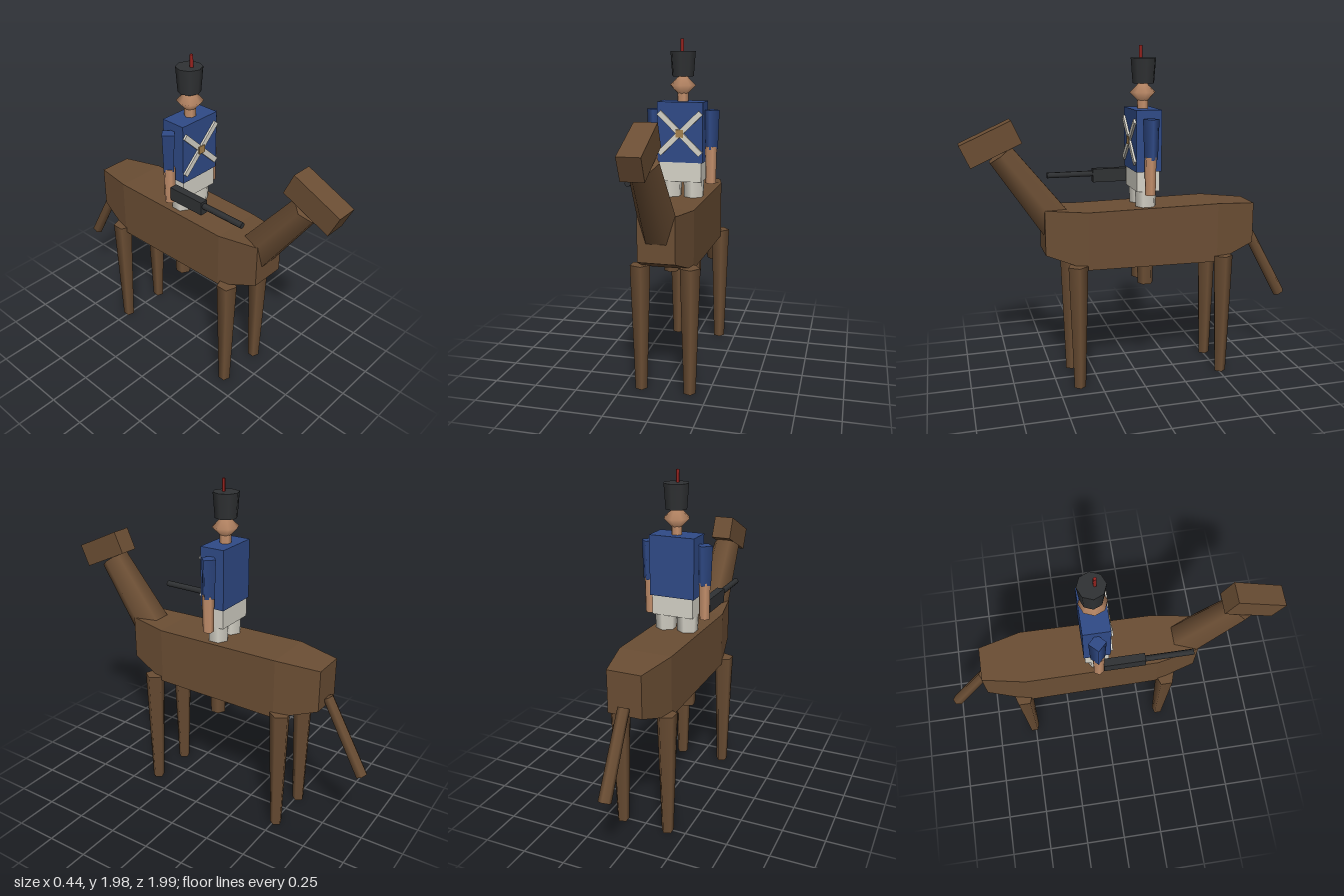
import * as THREE from 'three';

const paint = (name, color) => {
  const m = new THREE.MeshStandardMaterial({ color });
  m.name = name;
  return m;
};

export function createModel() {
  const brown = paint('horse brown', 0x6b4e34);
  const blue = paint('coat blue', 0x304b88);
  const skin = paint('skin', 0xc4906c);
  const white = paint('off white', 0xd6d3c8);
  const black = paint('charcoal', 0x303234);
  const red = paint('plume red', 0x9a2420);
  const brass = paint('buckle brass', 0xa5824e);

  const model = new THREE.Group();
  model.name = 'mountedSoldier';
  const horse = new THREE.Group();
  horse.name = 'horse';
  const rider = new THREE.Group();
  rider.name = 'rider';
  model.add(horse, rider);

  const add = (parent, name, geometry, material, x = 0, y = 0, z = 0) => {
    const mesh = new THREE.Mesh(geometry, material);
    mesh.name = name;
    mesh.position.set(x, y, z);
    parent.add(mesh);
    return mesh;
  };
  const box = (w, h, d) => new THREE.BoxGeometry(w, h, d);

  // Tapered rod between two points, with a corner turned by `turn`
  const rod = (parent, name, material, a, b, ra, rb, sides, turn = Math.PI / 2) => {
    const from = new THREE.Vector3(...a), to = new THREE.Vector3(...b);
    const dir = to.clone().sub(from);
    const geo = new THREE.CylinderGeometry(rb, ra, dir.length(), sides, 1, false, turn);
    const mesh = add(parent, name, geo, material);
    mesh.position.copy(from).add(to).multiplyScalar(0.5);
    mesh.quaternion.setFromUnitVectors(new THREE.Vector3(0, 1, 0), dir.normalize());
    return mesh;
  };

  // Horse body: a box of three segments, reshaped section by section
  const sections = [ // z, half width, bottom, top
    [-0.72, 0.1, 0.8, 1.045],
    [-0.47, 0.155, 0.71, 1.065],
    [0.31, 0.15, 0.717, 1.055],
    [0.55, 0.105, 0.81, 1.07],
  ];
  let body = new THREE.BoxGeometry(2, 2, 3, 1, 1, 3);
  const p = body.attributes.position;
  for (let i = 0; i < p.count; i++) {
    const [z, w, bottom, top] = sections[Math.round(p.getZ(i) + 1.5)];
    p.setXYZ(i, p.getX(i) * w, p.getY(i) > 0 ? top : bottom, z);
  }
  body = body.toNonIndexed();
  body.computeVertexNormals();
  add(horse, 'horseBody', body, brown);

  // Horse legs, neck, head and tail
  for (const [end, z] of [['front', 0.375], ['rear', -0.51]])
    for (const [side, x] of [['Left', 0.143], ['Right', -0.143]])
      rod(horse, `${end}Leg${side}`, brown, [x, 0, z], [x, 0.745, z], 0.036, 0.06, 5);
  rod(horse, 'horseNeck', brown, [0, 0.964, 0.465], [0, 1.385, 0.775], 0.113, 0.086, 6);
  add(horse, 'horseHead', box(0.122, 0.138, 0.313), brown, 0, 1.447, 0.828).rotation.x = 0.427;
  rod(horse, 'tail', brown, [0, 0.422, -0.963], [0, 0.852, -0.728], 0.036, 0.033, 6, 0);

  // Rider torso and hips
  add(rider, 'coat', box(0.27, 0.35, 0.15), blue, 0, 1.445, -0.048);
  add(rider, 'hips', box(0.25, 0.12, 0.135), white, 0, 1.215, -0.048);

  // Crossed belts and buckle
  for (const s of [1, -1])
    add(rider, 'crossBelt', box(0.032, 0.345, 0.012), white, 0, 1.44, 0.033).rotation.z = s * 0.8;
  add(rider, 'buckle', box(0.045, 0.045, 0.014), brass, 0, 1.44, 0.037);

  // Arms and legs, mirrored
  for (const [side, s] of [['Left', 1], ['Right', -1]]) {
    rod(rider, `sleeve${side}`, blue, [s * 0.17, 1.345, -0.05], [s * 0.17, 1.573, -0.05], 0.04, 0.048, 4);
    rod(rider, `forearm${side}`, skin, [s * 0.17, 1.143, -0.046], [s * 0.17, 1.36, -0.046], 0.031, 0.035, 6);
    rod(rider, `thigh${side}`, white, [s * 0.068, 0.88, -0.048], [s * 0.068, 1.16, -0.048], 0.055, 0.064, 6, 0);
    rod(rider, `lowerLeg${side}`, brown, [s * 0.068, 0.59, -0.046], [s * 0.068, 0.88, -0.046], 0.047, 0.052, 6, 0);
  }

  // Neck, head, tall hat and plume
  rod(rider, 'neck', skin, [0, 1.61, -0.048], [0, 1.68, -0.048], 0.033, 0.033, 6);
  add(rider, 'head', new THREE.SphereGeometry(0.077, 8, 2), skin, 0, 1.712, -0.048);
  rod(rider, 'hat', black, [0, 1.763, -0.052], [0, 1.905, -0.052], 0.064, 0.075, 8);
  rod(rider, 'plume', red, [0, 1.89, -0.035], [0, 1.975, -0.035], 0.01, 0.01, 5);

  // Rifle held at the right hip
  add(rider, 'rifleStock', box(0.046, 0.08, 0.235), black, -0.17, 1.212, 0.1);
  rod(rider, 'rifleBarrel', black, [-0.17, 1.223, 0.2], [-0.17, 1.223, 0.492], 0.018, 0.018, 6);

  return model;
}
